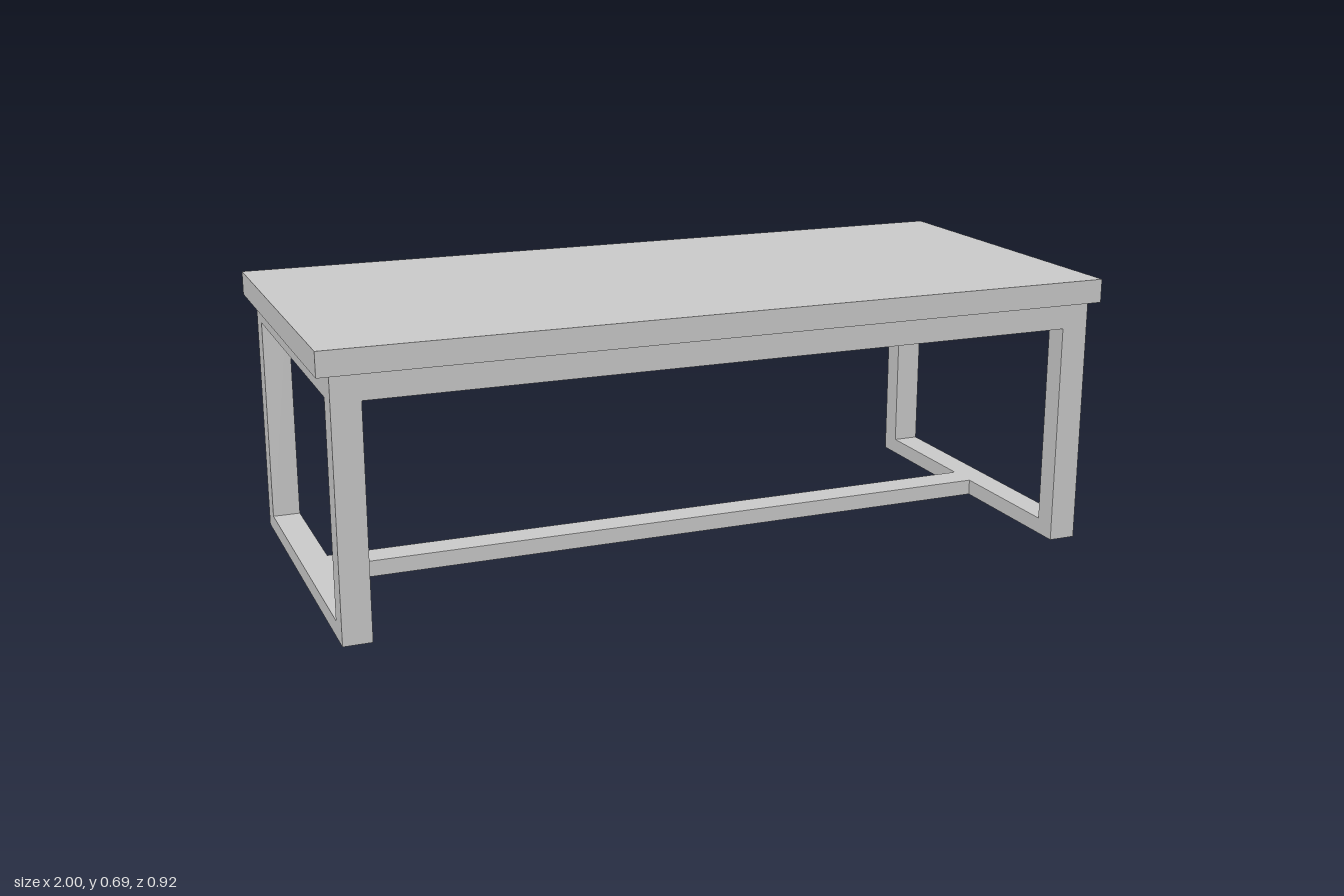
import * as THREE from 'three';

const material = new THREE.MeshStandardMaterial({ color: 0xcccccc, side: THREE.DoubleSide });

// Box given by its ranges on each axis; openBottom leaves out the underside
function bar(name, [x0, x1], [y0, y1], [z0, z1], openBottom = false) {
  const geometry = new THREE.BoxGeometry(x1 - x0, y1 - y0, z1 - z0);
  if (openBottom) {
    const index = Array.from(geometry.index.array);
    index.splice(18, 6);
    geometry.setIndex(index);
    geometry.clearGroups();
  }
  geometry.translate((x0 + x1) / 2, (y0 + y1) / 2, (z0 + z1) / 2);
  const mesh = new THREE.Mesh(geometry, material);
  mesh.name = name;
  return mesh;
}

// The same range on the positive or negative side
const side = (s, a, b) => (s > 0 ? [a, b] : [-b, -a]);

export function createModel() {
  const table = new THREE.Group();
  table.name = 'table';

  const xIn = 0.9, xOut = 0.97, zIn = 0.387, zOut = 0.447;
  const apronY = [0.567, 0.63], railY = [0, 0.041];

  table.add(bar('tableTop', [-1, 1], [0.63, 0.69], [-0.459, 0.459]));

  // End frames: two hollow legs, an apron and a floor rail
  for (const sx of [1, -1]) {
    const frame = new THREE.Group();
    frame.name = sx > 0 ? 'leftEndFrame' : 'rightEndFrame';
    const x = side(sx, xIn, xOut);
    for (const sz of [1, -1]) {
      frame.add(bar(sz > 0 ? 'frontLeg' : 'backLeg', x, [0, 0.63], side(sz, zIn, zOut), true));
    }
    frame.add(bar('endApron', x, apronY, [-zIn, zIn]));
    frame.add(bar('floorRail', x, railY, [-zIn, zIn], true));
    table.add(frame);
  }

  // Long aprons under the top
  for (const sz of [1, -1]) {
    table.add(bar(sz > 0 ? 'frontApron' : 'backApron', [-xIn, xIn], apronY, side(sz, zIn, zOut)));
  }

  // Stretcher joining the floor rails
  table.add(bar('stretcher', [-xIn, xIn], railY, [-0.04, 0.04], true));

  return table;
}
